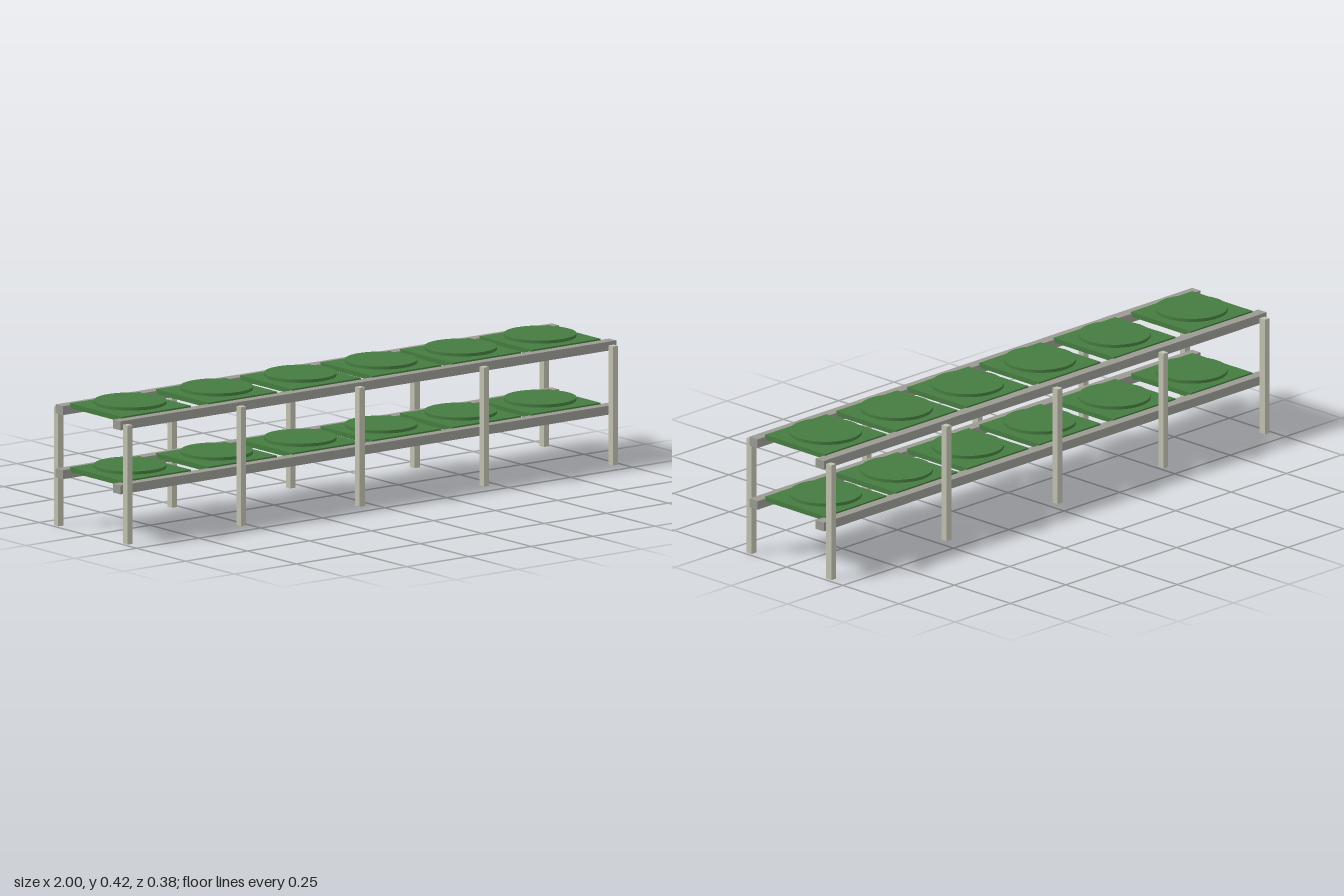
import * as THREE from 'three';

export function createModel() {
  const group = new THREE.Group();
  const paint = (name, color) => {
    const m = new THREE.MeshStandardMaterial({ color });
    m.name = name;
    return m;
  };
  const green = paint('green', 0x467c40);
  const railGrey = paint('rail grey', 0x9a9a93);
  const postGrey = paint('pale post grey', 0xc0c0b0);

  const add = (name, geometry, material, x, y, z) => {
    const mesh = new THREE.Mesh(geometry, material);
    mesh.name = name;
    mesh.position.set(x, y, z);
    group.add(mesh);
  };

  const postGeo = new THREE.BoxGeometry(0.021, 0.385, 0.023);
  const railGeo = new THREE.BoxGeometry(2, 0.029, 0.037);
  const plateGeo = new THREE.BoxGeometry(0.278, 0.016, 0.267);
  const discGeo = new THREE.CylinderGeometry(0.115, 0.115, 0.01, 48);

  // Posts along both long sides
  for (const x of [-0.979, -0.521, -0.043, 0.458, 0.979]) {
    for (const side of [-1, 1]) add('post', postGeo, postGrey, x, 0.1925, side * 0.1775);
  }

  // Two tiers: a pair of rails carrying a row of plates with round pads hovering just above
  for (const y of [0.175, 0.3825]) {
    for (const side of [-1, 1]) add('rail', railGeo, railGrey, 0, y, side * 0.1475);
    for (const x of [-0.829, -0.481, -0.144, 0.182, 0.503, 0.823]) {
      add('plate', plateGeo, green, x, y + 0.0115, 0);
      add('roundPad', discGeo, green, x, y + 0.029, 0);
    }
  }
  return group;
}
